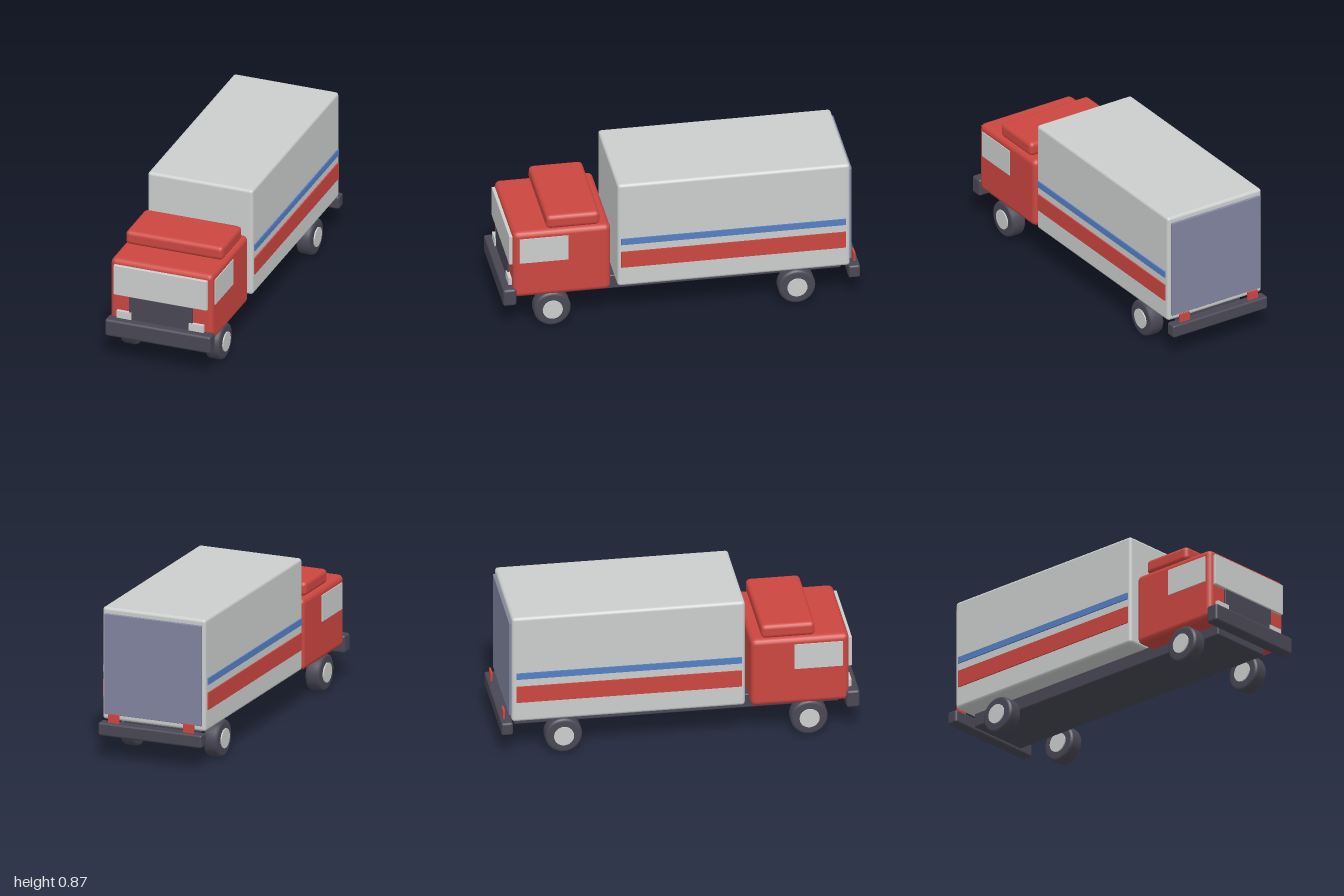
import * as THREE from 'three';
import { RoundedBoxGeometry } from 'three/addons/geometries/RoundedBoxGeometry.js';

const paint = (name, hex) => {
  const m = new THREE.MeshStandardMaterial({ color: hex });
  m.name = name;
  return m;
};

export function createModel() {
  const truck = new THREE.Group();
  truck.name = 'boxTruck';

  const red = paint('red', 0xcc4640);
  const white = paint('white', 0xcccece);
  const dark = paint('charcoal', 0x484754);
  const blue = paint('blue', 0x5480c4);
  const slate = paint('slate', 0x8185a0);

  // Box given by its limits on each axis, with rounded edges when r > 0
  const box = (name, mat, [x0, x1], [y0, y1], [z0, z1], r = 0) => {
    const size = [x1 - x0, y1 - y0, z1 - z0];
    const geo = r > 0 ? new RoundedBoxGeometry(...size, 2, r) : new THREE.BoxGeometry(...size);
    const mesh = new THREE.Mesh(geo, mat);
    mesh.name = name;
    mesh.position.set((x0 + x1) / 2, (y0 + y1) / 2, (z0 + z1) / 2);
    truck.add(mesh);
  };
  // Same box on the left (+x) and the right (-x)
  const pair = (name, mat, [x0, x1], y, z, r = 0) => {
    box(name + 'Left', mat, [x0, x1], y, z, r);
    box(name + 'Right', mat, [-x1, -x0], y, z, r);
  };

  // Main bodies
  box('chassis', dark, [-0.19, 0.19], [0.14, 0.225], [-0.912, 0.9], 0.008);
  box('cargoBox', white, [-0.312, 0.312], [0.22, 0.866], [-0.942, 0.36], 0.018);
  box('cab', red, [-0.303, 0.303], [0.2, 0.612], [0.395, 0.943], 0.03);
  box('roofFairing', red, [-0.289, 0.289], [0.611, 0.694], [0.453, 0.755], 0.025);

  // Bumpers
  box('frontBumper', dark, [-0.313, 0.313], [0.157, 0.26], [0.925, 1], 0.014);
  box('rearBumper', dark, [-0.313, 0.313], [0.14, 0.216], [-1, -0.934], 0.012);

  // Cab front and side details
  box('windshield', white, [-0.276, 0.276], [0.401, 0.581], [0.938, 0.961], 0.003);
  box('grille', dark, [-0.188, 0.188], [0.24, 0.4], [0.938, 0.955], 0.003);
  pair('headlight', white, [0.17, 0.258], [0.262, 0.305], [0.938, 0.962]);
  pair('sideWindow', white, [0.299, 0.308], [0.421, 0.573], [0.635, 0.907]);

  // Cargo box stripes, rear door and tail lights
  pair('redStripe', red, [0.31, 0.3195], [0.343, 0.441], [-0.917, 0.34]);
  pair('blueStripe', blue, [0.31, 0.3195], [0.487, 0.524], [-0.917, 0.34]);
  box('rearDoor', slate, [-0.292, 0.292], [0.255, 0.832], [-0.955, -0.94], 0.003);
  pair('tailLight', red, [0.194, 0.258], [0.212, 0.265], [-0.982, -0.971]);

  // Wheels: a chamfered tyre turned about the axle, with a hub showing on both sides
  const R = 0.104, W = 0.044, B = 0.016;
  const profile = [
    [0, -W], [R - B, -W], [R - B * 0.3, -W + B * 0.3], [R, -W + B],
    [R, W - B], [R - B * 0.3, W - B * 0.3], [R - B, W], [0, W],
  ].map(([r, h]) => new THREE.Vector2(r, h));
  const tyreGeo = new THREE.LatheGeometry(profile, 32).rotateZ(Math.PI / 2);
  const hubGeo = new THREE.CylinderGeometry(0.056, 0.056, 0.102, 24).rotateZ(Math.PI / 2);
  for (const [end, z] of [['front', 0.721], ['rear', -0.649]]) {
    for (const [side, s] of [['Left', 1], ['Right', -1]]) {
      const wheel = new THREE.Group();
      wheel.name = end + 'Wheel' + side;
      const tyre = new THREE.Mesh(tyreGeo, dark);
      tyre.name = 'tyre';
      const hub = new THREE.Mesh(hubGeo, white);
      hub.name = 'hub';
      wheel.add(tyre, hub);
      wheel.position.set(s * 0.252, R, z);
      truck.add(wheel);
    }
  }
  return truck;
}
